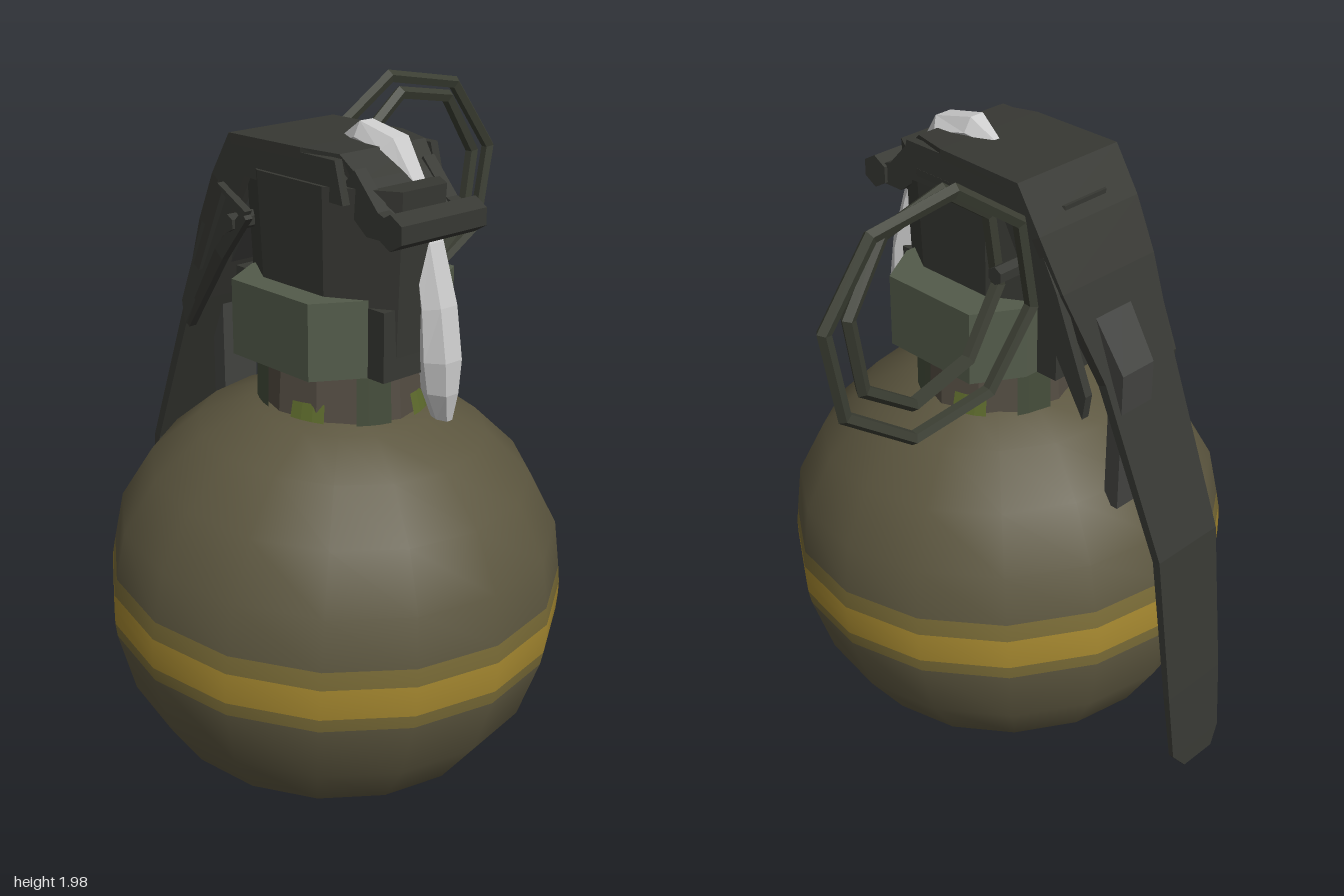
import * as THREE from 'three';

const mat = (color, flatShading = true, side = THREE.FrontSide) =>
  new THREE.MeshStandardMaterial({ color, flatShading, side });
const DARK = 0x373833, GREEN = 0x535b4a, OLIVE = 0x5c563f;

function add(parent, name, geometry, material, x = 0, y = 0, z = 0) {
  const m = new THREE.Mesh(geometry, material);
  m.name = name;
  m.position.set(x, y, z);
  parent.add(m);
  return m;
}

// Sweeps a section along stations [x, y, z, halfThickness, halfWidth] lying in planes of constant z.
function sweep(stations, sides) {
  const k = sides === 4 ? Math.SQRT2 : 1, off = sides === 4 ? Math.PI / 4 : 0;
  const pos = [], idx = [], n = stations.length;
  stations.forEach(([x, y, z, ht, hw], i) => {
    const a = stations[Math.max(i - 1, 0)], b = stations[Math.min(i + 1, n - 1)];
    const dx = b[0] - a[0], dy = b[1] - a[1], l = Math.hypot(dx, dy);
    for (let j = 0; j < sides; j++) {
      const t = off + (j / sides) * Math.PI * 2;
      const s = Math.sin(t) * ht * k;
      pos.push(x + (dy / l) * s, y - (dx / l) * s, z + Math.cos(t) * hw * k);
    }
  });
  for (let i = 0; i < n - 1; i++) for (let j = 0; j < sides; j++) {
    const a = i * sides + j, b = i * sides + (j + 1) % sides;
    idx.push(a, b, b + sides, a, b + sides, a + sides);
  }
  const e = (n - 1) * sides;
  for (let j = 1; j < sides - 1; j++) idx.push(0, j + 1, j, e, e + j, e + j + 1);
  const g = new THREE.BufferGeometry();
  g.setAttribute('position', new THREE.Float32BufferAttribute(pos, 3));
  g.setIndex(idx);
  g.computeVertexNormals();
  return g;
}

// Extrudes an outline of x, y points from z0 over a depth.
function plate(points, z0, depth) {
  const s = new THREE.Shape(points.map(p => new THREE.Vector2(...p)));
  return new THREE.ExtrudeGeometry(s, { depth, bevelEnabled: false }).translate(0, 0, z0);
}

function buildBody() {
  const body = new THREE.Group();
  body.name = 'body';
  body.position.set(0.065, 0.6, 0.11);
  body.rotation.z = -0.07;
  const profile = [[0, -0.59], [0.12, -0.582], [0.34, -0.5], [0.48, -0.4], [0.585, -0.25],
    [0.638, -0.07], [0.644, -0.03], [0.646, 0.02], [0.645, 0.06], [0.638, 0.11],
    [0.615, 0.25], [0.53, 0.4], [0.4, 0.52], [0.25, 0.585], [0, 0.6]];
  const zones = [['lowerShell', 0, 5, OLIVE], ['bandLowerEdge', 5, 6, 0x786a36], ['band', 6, 8, 0xa3862f],
    ['bandUpperEdge', 8, 9, 0x786a36], ['upperShell', 9, 14, OLIVE]];
  for (const [name, a, b, color] of zones) {
    const g = new THREE.LatheGeometry(profile.slice(a, b + 1).map(p => new THREE.Vector2(...p)), 16);
    const p = g.attributes.position, v = new THREE.Vector3();
    // Radial normals keep the shading continuous between zones.
    for (let i = 0; i < p.count; i++) {
      v.fromBufferAttribute(p, i).normalize();
      g.attributes.normal.setXYZ(i, v.x, v.y, v.z);
    }
    add(body, name, g, mat(color, false));
  }
  return body;
}

function buildHead() {
  const head = new THREE.Group();
  head.name = 'fuzeHead';
  // Neck with camouflage tabs around it
  add(head, 'neck', new THREE.CylinderGeometry(0.22, 0.235, 0.24, 12), mat(0x544d43), 0.065, 1.25, 0.075);
  for (let i = 0; i < 8; i++) {
    const a = (i / 8) * Math.PI * 2 + 0.2, low = i % 2 === 0;
    const tab = new THREE.CylinderGeometry(low ? 0.225 : 0.236, low ? 0.245 : 0.24, low ? 0.08 : 0.19, 3, 1, true, a, 0.42);
    add(head, 'neckTab', tab, mat(low ? 0x5d6a2c : 0x454d3b, true, THREE.DoubleSide), 0.065, low ? 1.19 : 1.24, 0.075);
  }
  // Collar: long octagon with its narrow ends front and back
  const collar = [[-0.09, 0.335], [0.22, 0.335], [0.3, 0.2], [0.3, -0.06], [0.22, -0.195], [-0.09, -0.195],
    [-0.17, -0.06], [-0.17, 0.2]].map(([x, z]) => [x, -z]);
  add(head, 'collar', plate(collar, 0, 0.21).rotateX(-Math.PI / 2), mat(GREEN), 0, 1.32, 0);
  // Dark housing: eight sided, wider at the top
  const housing = new THREE.CylinderGeometry(0.335, 0.305, 0.5, 8).rotateY(Math.PI / 8);
  housing.scale(1, 1, 0.6);
  add(head, 'housing', housing, mat(DARK), 0.075, 1.57, 0.085);
  for (const x of [-0.19, 0.31])
    add(head, 'housingLug', new THREE.BoxGeometry(0.1, 0.19, 0.22), mat(DARK), x, 1.415, 0.09);
  // Hinge pin and the arms that hold it
  add(head, 'hingePin', new THREE.CylinderGeometry(0.047, 0.047, 0.3, 6).rotateX(Math.PI / 2), mat(DARK), 0.415, 1.735, 0.085);
  for (const z of [-0.035, 0.205])
    add(head, 'hingeArm', sweep([[0.41, 1.73, z, 0.025, 0.02], [0.34, 1.74, z, 0.04, 0.02], [0.24, 1.83, z, 0.05, 0.02]], 4), mat(DARK));
  return head;
}

function buildLever() {
  const lever = new THREE.Group();
  lever.name = 'safetyLever';
  // Sheet that wraps over the top and hangs down the side
  const path = [[0.37, 1.74, 0.095, 0.015, 0.125], [0.28, 1.83, 0.085, 0.015, 0.13], [0.22, 1.885, 0.08, 0.015, 0.15],
    [0.11, 1.888, 0.08, 0.015, 0.18], [-0.17, 1.885, 0.08, 0.015, 0.185], [-0.24, 1.77, 0.08, 0.015, 0.185],
    [-0.31, 1.63, 0.085, 0.015, 0.175], [-0.41, 1.38, 0.11, 0.014, 0.135],
    [-0.61, 0.9, 0.115, 0.012, 0.12], [-0.675, 0.45, 0.11, 0.01, 0.11], [-0.7, 0.24, 0.11, 0.008, 0.1], [-0.707, 0.18, 0.12, 0.006, 0.06]];
  add(lever, 'leverSheet', sweep(path, 4), mat(DARK));
  // Folded side flanges
  const flange = [[0.24, 1.89], [-0.17, 1.89], [-0.31, 1.64], [-0.42, 1.38], [-0.41, 1.31], [-0.22, 1.61], [-0.12, 1.79], [0.27, 1.78]];
  for (const z of [-0.1, 0.235])
    add(lever, 'leverFlange', plate(flange, z, 0.025), mat(DARK));
  // Inner strap bent down behind the sheet
  add(lever, 'innerStrap', sweep([[-0.2, 1.72, 0.07, 0.02, 0.07], [-0.3, 1.59, 0.07, 0.022, 0.07],
    [-0.435, 1.41, 0.06, 0.024, 0.06], [-0.435, 1.0, 0.06, 0.024, 0.06]], 4), mat(0x41423f));
  return lever;
}

function buildPullRing() {
  const pull = new THREE.Group();
  pull.name = 'pullPin';
  // Two eight sided loops that meet at the far end
  for (const [x, y, z, r, yaw] of [[-0.205, 1.655, -0.425, 0.325, -0.09], [-0.14, 1.665, -0.385, 0.28, 0.09]]) {
    const g = new THREE.TorusGeometry(r, 0.02, 5, 8).rotateZ(0.22).rotateY(Math.PI / 2);
    add(pull, 'ring', g, mat(0x3b3e33), x, y, z).rotation.y = yaw;
  }
  // Pin through the head, with splayed legs on the front
  add(pull, 'pinShaft', new THREE.CylinderGeometry(0.025, 0.025, 0.46, 6).rotateX(Math.PI / 2), mat(DARK), -0.16, 1.66, 0.06);
  add(pull, 'pinLeg', sweep([[-0.1, 1.69, 0.27, 0.014, 0.012], [-0.22, 1.56, 0.265, 0.02, 0.012], [-0.41, 1.31, 0.24, 0.012, 0.012]], 4), mat(DARK));
  add(pull, 'pinLeg', sweep([[-0.1, 1.69, 0.27, 0.014, 0.012], [-0.2, 1.75, 0.27, 0.014, 0.012], [-0.33, 1.5, 0.26, 0.014, 0.012]], 4), mat(DARK));
  return pull;
}

export function createModel() {
  const model = new THREE.Group();
  model.name = 'handGrenade';
  model.add(buildBody(), buildHead(), buildLever(), buildPullRing());
  // Pale safety clip draped over the top and down the side
  const clip = [[0.03, 1.88, 0.05, 0.008, 0.01], [0.13, 1.91, 0.05, 0.045, 0.045], [0.23, 1.89, 0.045, 0.045, 0.055],
    [0.3, 1.79, 0.035, 0.03, 0.04], [0.35, 1.66, 0.035, 0.035, 0.05], [0.385, 1.5, 0.03, 0.045, 0.06],
    [0.395, 1.36, 0.03, 0.058, 0.06], [0.395, 1.27, 0.03, 0.055, 0.045], [0.395, 1.19, 0.02, 0.035, 0.02]];
  add(model, 'safetyClip', sweep(clip, 6), mat(0xcccccc));
  return model;
}
